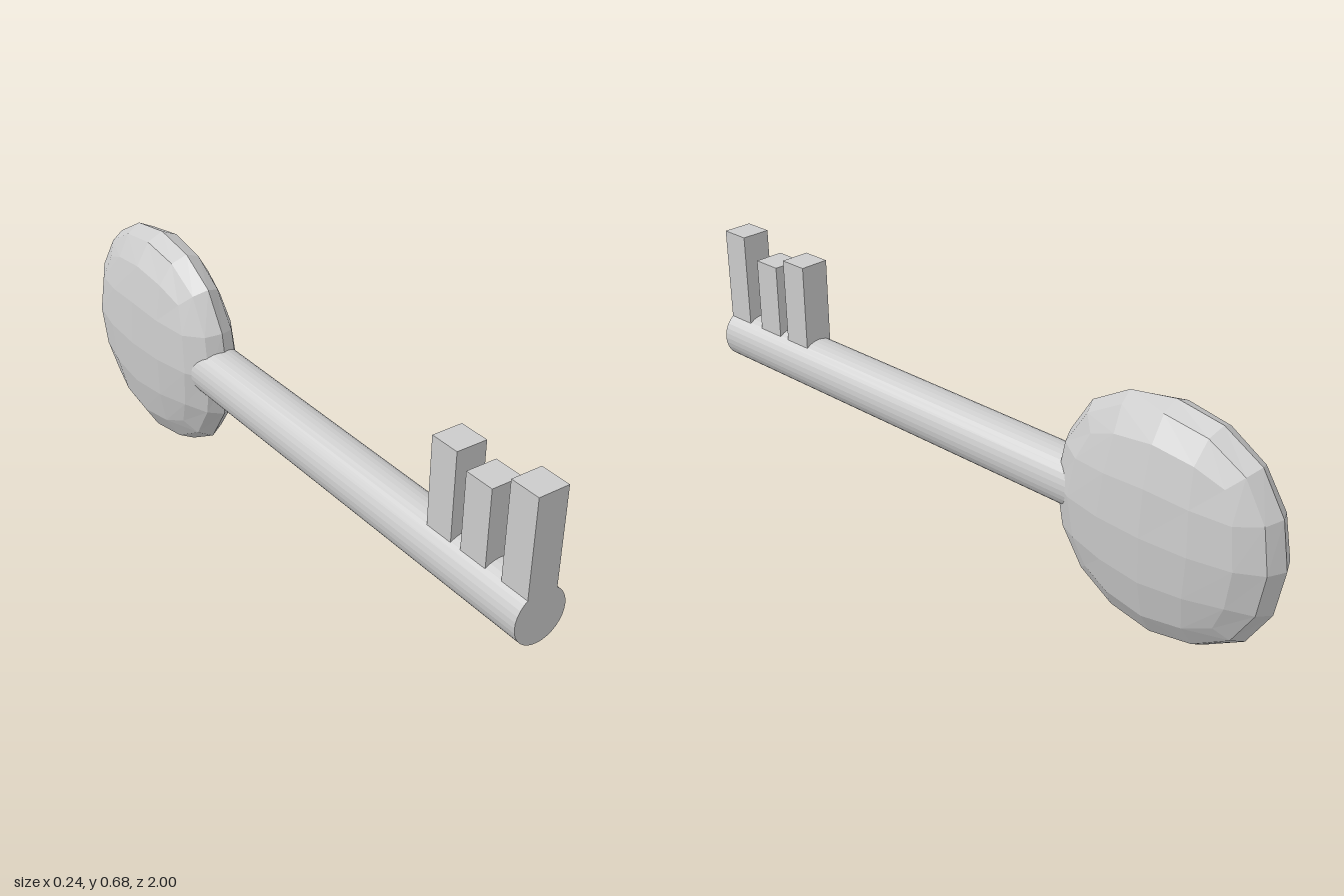
import * as THREE from 'three';

const AXIS_Y = 0.337;

// Rounded-cube net: positions of one face quadrant as [u, v, w] by grid step (0 = centre, 2 = edge)
const NET = {
  '00': [0, 0, 0.8785], '10': [0.3507, 0, 0.8194], '20': [0.643, 0, 0.643],
  '11': [0.3264, 0.3264, 0.7639], '21': [0.599, 0.3021, 0.599], '22': [0.5093, 0.5093, 0.5093],
};

// Faceted, cube-based ellipsoid with radii rx, ry, rz
function roundedCube(rx, ry, rz) {
  const geo = new THREE.BoxGeometry(4, 4, 4, 4, 4, 4);
  const pos = geo.attributes.position;
  for (let i = 0; i < pos.count; i++) {
    const p = [pos.getX(i), pos.getY(i), pos.getZ(i)].map(Math.round);
    // Sort axes by distance from the centre, look the point up, restore axes and signs
    const order = [0, 1, 2].sort((a, b) => Math.abs(p[b]) - Math.abs(p[a]));
    const [w, u, v] = order;
    const n = NET[`${Math.abs(p[u])}${Math.abs(p[v])}`];
    const q = [0, 0, 0];
    [[u, n[0]], [v, n[1]], [w, n[2]]].forEach(([axis, d]) => {
      q[axis] = Math.sign(p[axis]) * d / 0.8785;
    });
    pos.setXYZ(i, q[0] * rx, q[1] * ry, q[2] * rz);
  }
  geo.computeVertexNormals();
  return geo;
}

export function createModel() {
  const model = new THREE.Group();
  model.name = 'key';
  const material = new THREE.MeshStandardMaterial({ color: 0xcccccc, flatShading: true });

  const add = (name, geometry, x, y, z) => {
    const mesh = new THREE.Mesh(geometry, material);
    mesh.name = name;
    mesh.position.set(x, y, z);
    model.add(mesh);
    return mesh;
  };

  // Flattened grip at the back
  add('grip', roundedCube(0.122, 0.335, 0.344), 0, AXIS_Y, -0.656);

  // Round shaft, its rear end buried in the grip
  const back = -0.5;
  const shaft = new THREE.CylinderGeometry(0.078, 0.078, 1 - back, 32).rotateX(Math.PI / 2);
  add('shaft', shaft, 0, AXIS_Y, (1 + back) / 2);

  // Square teeth: [centre z, top y]
  const foot = 0.36;
  [[0.956, 0.68], [0.813, 0.622], [0.69, 0.655]].forEach(([z, top], i) => {
    add(`tooth${i + 1}`, new THREE.BoxGeometry(0.09, top - foot, 0.088), 0, (top + foot) / 2, z);
  });

  return model;
}
